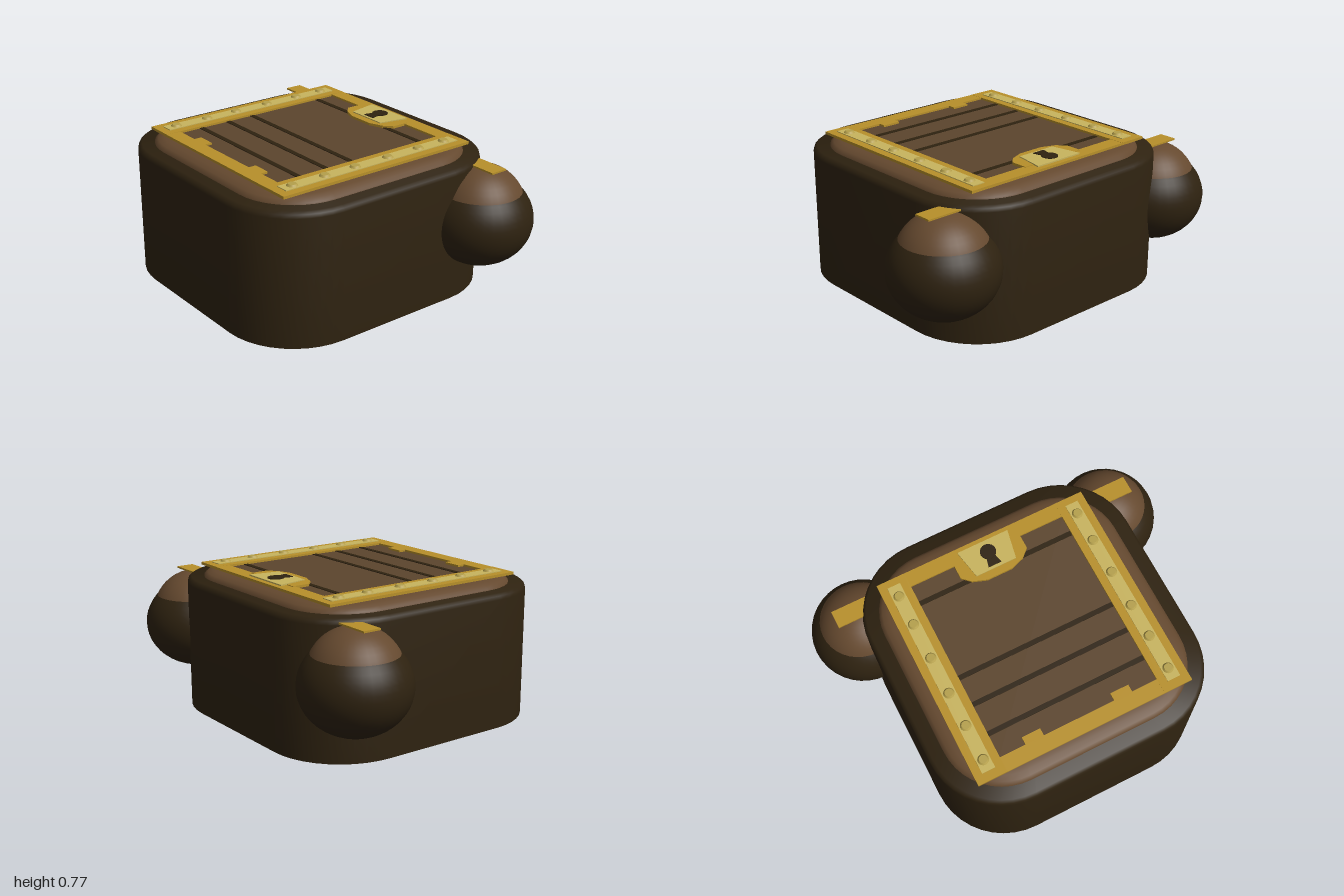
import * as THREE from 'three';
import { toCreasedNormals } from 'three/addons/utils/BufferGeometryUtils.js';

const mat = (name, color) => {
  const m = new THREE.MeshStandardMaterial({ color });
  m.name = name;
  return m;
};

// Closed loft of rounded squares; each ring is [half width, corner radius, y]
function roundedLoft(rings, segs = 10) {
  const pos = [], idx = [];
  const n = 4 * (segs + 1);
  for (const [half, r, y] of rings) {
    for (let q = 0; q < 4; q++) {
      const mid = (q + 0.5) * Math.PI / 2;
      const cx = Math.sign(Math.cos(mid)) * (half - r);
      const cz = Math.sign(Math.sin(mid)) * (half - r);
      for (let s = 0; s <= segs; s++) {
        const a = (q + s / segs) * Math.PI / 2;
        pos.push(cx + r * Math.cos(a), y, cz + r * Math.sin(a));
      }
    }
  }
  const last = rings.length - 1;
  for (let k = 0; k < last; k++) {
    for (let i = 0; i < n; i++) {
      const j = (i + 1) % n;
      const a = k * n + i, b = k * n + j, c = a + n, d = b + n;
      idx.push(a, c, b, b, c, d);
    }
  }
  // End caps
  const bottom = pos.length / 3;
  pos.push(0, rings[0][2], 0, 0, rings[last][2], 0);
  for (let i = 0; i < n; i++) {
    const j = (i + 1) % n;
    idx.push(bottom, i, j, bottom + 1, last * n + j, last * n + i);
  }
  const g = new THREE.BufferGeometry();
  g.setAttribute('position', new THREE.Float32BufferAttribute(pos, 3));
  g.setIndex(idx);
  return toCreasedNormals(g, 0.7);
}

// Flat plate from an [x, z] outline, standing on y
function plate(points, y, thick) {
  const shape = new THREE.Shape(points.map(([x, z]) => new THREE.Vector2(x, -z)));
  const g = new THREE.ExtrudeGeometry(shape, { depth: thick, bevelEnabled: false });
  return g.rotateX(-Math.PI / 2).translate(0, y, 0);
}

// Box given by its x, y and z ranges
function slab(x0, x1, y0, y1, z0, z1) {
  return new THREE.BoxGeometry(x1 - x0, y1 - y0, z1 - z0)
    .translate((x0 + x1) / 2, (y0 + y1) / 2, (z0 + z1) / 2);
}

export function createModel() {
  const model = new THREE.Group();
  const dark = mat('darkBrown', 0x2e2210);
  const brown = mat('brown', 0x65492f);
  const wood = mat('plankBrown', 0x5c452d);
  const gold = mat('gold', 0xb8902a);
  const paleGold = mat('paleGold', 0xc8b45e);
  const rivetGold = mat('rivetGold', 0xb5a04c);

  const add = (name, geometry, material, parent = model) => {
    const m = new THREE.Mesh(geometry, material);
    m.name = name;
    parent.add(m);
    return m;
  };

  // Outer body and the inner core that shows at the top and underneath
  add('body', roundedLoft([
    [0.74, 0.39, 0.004], [0.74, 0.39, 0.675], [0.735, 0.385, 0.693], [0.72, 0.37, 0.705],
  ]), dark).position.z = 0.035;
  add('innerBody', roundedLoft([
    [0.67, 0.33, 0], [0.66, 0.32, 0.69], [0.655, 0.315, 0.712], [0.638, 0.3, 0.727],
    [0.61, 0.275, 0.738], [0.57, 0.24, 0.743],
  ]), brown).position.z = 0.035;

  // Ears with a gold strap on each
  for (const side of [1, -1]) {
    const ear = new THREE.Group();
    ear.name = side > 0 ? 'leftEar' : 'rightEar';
    model.add(ear);
    const x = side * 0.725, z = -0.505;
    add('earOuter', new THREE.SphereGeometry(1, 36, 24).scale(0.274, 0.24, 0.274)
      .translate(x, 0.4, z), dark, ear);
    add('earInner', new THREE.SphereGeometry(1, 36, 24).scale(0.234, 0.235, 0.234)
      .translate(x, 0.45, z), brown, ear);
    const inner = side * 0.6, outer = side * 0.845;
    add('earStrap', slab(Math.min(inner, outer), Math.max(inner, outer),
      0.68, 0.689, -0.55, -0.455), gold, ear);
  }

  // Wooden lid panel with dark gaps between planks
  add('lidPanel', slab(-0.44, 0.44, 0.739, 0.746, -0.47, 0.54), wood);
  for (const z of [-0.362, 0.083, 0.237, 0.403]) {
    add('plankGap', slab(-0.43, 0.43, 0.741, 0.749, z - 0.013, z + 0.013), dark);
  }

  // Gold frame: side rails, strips and rivets
  for (const side of [1, -1]) {
    const cx = side * 0.508;
    add('sideRail', slab(cx - 0.077, cx + 0.077, 0.743, 0.757, -0.545, 0.615), gold);
    add('railStrip', slab(cx - 0.035, cx + 0.035, 0.755, 0.761, -0.505, 0.57), paleGold);
    for (const z of [-0.44, -0.27, -0.07, 0.135, 0.32, 0.51]) {
      add('rivet', new THREE.CylinderGeometry(0.021, 0.03, 0.012, 16)
        .translate(cx, 0.765, z), rivetGold);
    }
    const hx = side * 0.243;
    add('hingeTab', slab(hx - 0.05, hx + 0.05, 0.743, 0.756, 0.495, 0.545), gold);
  }
  add('backRail', slab(-0.435, 0.435, 0.743, 0.756, -0.545, -0.465), gold);
  add('frontRail', slab(-0.435, 0.435, 0.743, 0.756, 0.535, 0.615), gold);

  // Lock with keyhole
  add('lockBase', plate([
    [-0.188, -0.48], [-0.188, -0.388], [-0.145, -0.347], [-0.07, -0.32],
    [0.07, -0.32], [0.145, -0.347], [0.188, -0.388], [0.188, -0.48],
  ], 0.745, 0.014), gold);
  add('lockPlate', plate([
    [-0.143, -0.52], [-0.112, -0.36], [0.112, -0.36], [0.143, -0.52],
  ], 0.757, 0.007), paleGold);
  add('keyholeTop', new THREE.CylinderGeometry(0.042, 0.042, 0.007, 20)
    .translate(0, 0.7645, -0.455), dark);
  add('keyholeSlot', plate([
    [-0.018, -0.45], [-0.036, -0.375], [0.036, -0.375], [0.018, -0.45],
  ], 0.761, 0.0065), dark);

  return model;
}
